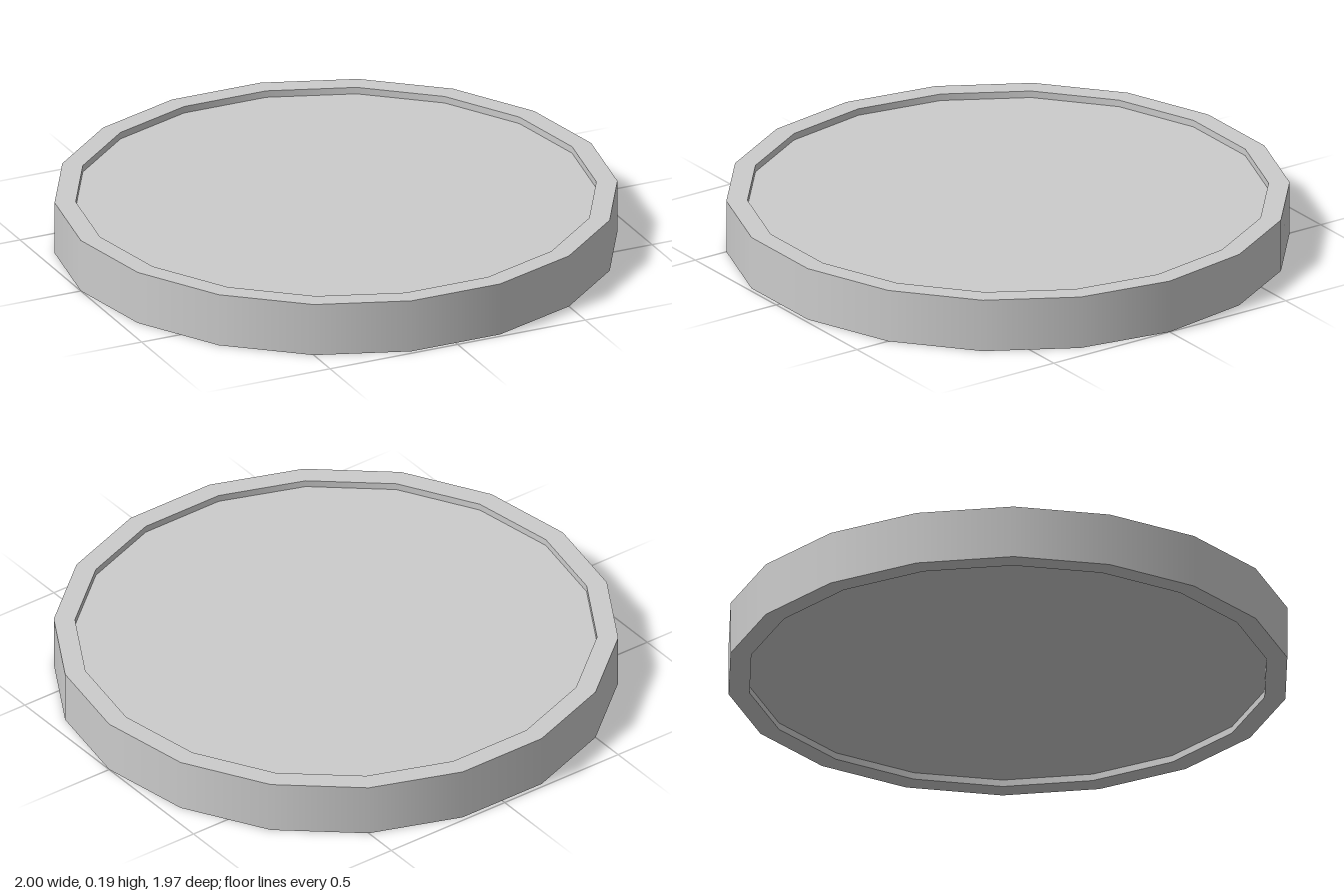
import * as THREE from 'three';

export function createModel() {
  const group = new THREE.Group();
  group.name = 'disc';
  const material = new THREE.MeshStandardMaterial({ color: 0xcccccc });
  const sides = 18, outer = 1, inner = 0.925, height = 0.195, recess = 0.025;

  // Each band is its own lathe, so the sides stay smooth and the rim edges sharp.
  const band = (name, r0, y0, r1, y1) => {
    const profile = [new THREE.Vector2(r0, y0), new THREE.Vector2(r1, y1)];
    const mesh = new THREE.Mesh(new THREE.LatheGeometry(profile, sides, Math.PI / 2), material);
    mesh.name = name;
    group.add(mesh);
  };

  // Underside: recessed panel, its wall and the lower rim
  band('bottomPanel', 0, recess, inner, recess);
  band('bottomRecessWall', inner, recess, inner, 0);
  band('bottomRim', inner, 0, outer, 0);

  // Outer wall
  band('outerWall', outer, 0, outer, height);

  // Upper side: rim, recess wall and panel
  band('topRim', outer, height, inner, height);
  band('topRecessWall', inner, height, inner, height - recess);
  band('topPanel', inner, height - recess, 0, height - recess);

  return group;
}
